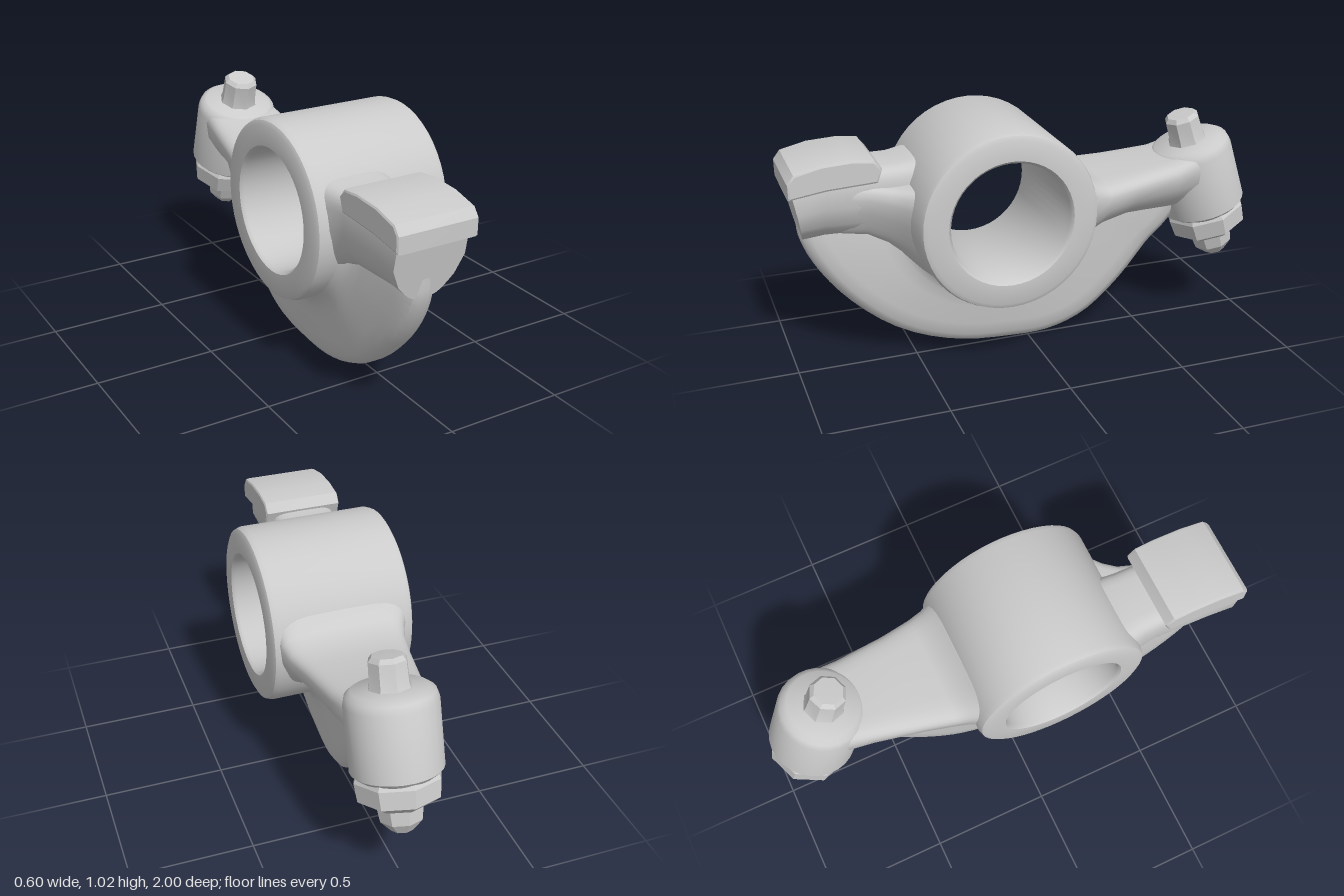
import * as THREE from 'three';
import { toCreasedNormals } from 'three/addons/utils/BufferGeometryUtils.js';

const material = new THREE.MeshStandardMaterial({ color: 0xcccccc, roughness: 0.7 });
const V3 = (x, y, z) => new THREE.Vector3(x, y, z);
const HUB = { y: 0.658, z: 0.17 };

function part(name, geometry, crease = 0.7) {
  const mesh = new THREE.Mesh(toCreasedNormals(geometry, crease), material);
  mesh.name = name;
  return mesh;
}

// Skin a list of equal-sized closed rings and cap both ends
function loft(rings) {
  const n = rings[0].length;
  const pts = rings.flat();
  const index = [];
  for (let i = 0; i < rings.length - 1; i++) {
    for (let j = 0; j < n; j++) {
      const a = i * n + j, b = i * n + (j + 1) % n;
      index.push(a, b, a + n, b, b + n, a + n);
    }
  }
  for (const end of [0, rings.length - 1]) {
    const centre = V3(0, 0, 0);
    rings[end].forEach(p => centre.addScaledVector(p, 1 / n));
    const c = pts.push(centre) - 1;
    for (let j = 0; j < n; j++) {
      const a = end * n + j, b = end * n + (j + 1) % n;
      end ? index.push(c, a, b) : index.push(c, b, a);
    }
  }
  const g = new THREE.BufferGeometry().setFromPoints(pts);
  g.setIndex(index);
  g.computeVertexNormals();
  return g;
}

// Rounded section at z: x0..x1 along the top, bx0..bx1 along the bottom;
// flare sets how fast the bottom width grows to the top width
function section([z, x0, x1, y0, y1, bx0, bx1], flare, slant = 0) {
  const ring = [];
  const soft = v => Math.sign(v) * Math.abs(v) ** 0.4;
  for (let j = 0; j < 32; j++) {
    const a = j / 32 * Math.PI * 2;
    const u = soft(Math.cos(a)) / 2 + 0.5, v = soft(Math.sin(a)) / 2 + 0.5;
    const w = Math.min(1, v * flare);
    const l = THREE.MathUtils.lerp(bx0, x0, w), r = THREE.MathUtils.lerp(bx1, x1, w);
    ring.push(V3(l + (r - l) * u, y0 + (y1 - y0) * v, z - slant * (1 - v)));
  }
  return ring;
}

// Curved lower web: fillet at the hub, rounded rim
function webGeometry() {
  const rim = new THREE.CatmullRomCurve3([
    [0.95, 0.64], [0.94, 0.55], [0.88, 0.42], [0.75, 0.255], [0.55, 0.1], [0.32, 0.02], [0.08, 0.003],
    [-0.1, 0.015], [-0.26, 0.08], [-0.42, 0.225], [-0.55, 0.39], [-0.63, 0.47], [-0.7, 0.57],
  ].map(([z, y]) => V3(0, y, z)));
  const centre = V3(0, HUB.y, HUB.z);
  const rings = [];
  for (let i = 0; i <= 40; i++) {
    const u = i / 40;
    const edge = rim.getPoint(u);
    const dir = edge.clone().sub(centre);
    const R = dir.length();
    dir.normalize();
    const s = Math.min(1, 0.68 + u * 1.1);
    const profile = [[0.3, 0.15], [0.365, 0.145], [0.385, 0.123], [0.42, 0.107], [0.47, 0.1],
      [R - 0.1, 0.086], [R - 0.045, 0.077], [R - 0.012, 0.055], [R, 0.022]];
    const side = k => profile.map(([r, h]) => {
      const p = centre.clone().addScaledVector(dir, r);
      p.x = -0.05 - 0.07 * (p.z - 0.1) + k * h * s;
      return p;
    });
    rings.push([...side(1), ...side(-1).reverse()]);
  }
  return loft(rings);
}

const lathe = (points, segments) =>
  new THREE.LatheGeometry(points.map(([r, y]) => new THREE.Vector2(r, y)), segments);

export function createModel() {
  const model = new THREE.Group();
  model.name = 'rockerArm';

  // Pivot hub with through bore
  const hub = part('hub', lathe([[0.248, -0.285], [0.26, -0.3], [0.342, -0.3], [0.36, -0.291], [0.368, -0.27],
    [0.368, 0.27], [0.36, 0.291], [0.342, 0.3], [0.26, 0.3], [0.248, 0.285], [0.248, -0.285]], 48));
  hub.rotation.z = Math.PI / 2;
  hub.position.set(0, HUB.y, HUB.z);
  model.add(hub);

  model.add(part('web', webGeometry()));

  // Rear arm, narrowing from hub to boss
  model.add(part('rearArm', loft([
    [-0.8, -0.11, 0.16, 0.56, 0.835, -0.06, 0.1],
    [-0.7, -0.15, 0.2, 0.55, 0.808, -0.07, 0.1],
    [-0.6, -0.16, 0.21, 0.55, 0.777, -0.08, 0.11],
    [-0.4, -0.2, 0.235, 0.55, 0.752, -0.11, 0.12],
    [-0.27, -0.23, 0.26, 0.535, 0.742, -0.15, 0.16],
    [-0.21, -0.25, 0.27, 0.52, 0.765, -0.18, 0.2],
    [-0.17, -0.275, 0.28, 0.5, 0.81, -0.22, 0.23],
    [-0.12, -0.28, 0.285, 0.48, 0.85, -0.25, 0.25],
  ].map(s => section(s, 1.8)))));

  // Front neck carrying the pad
  model.add(part('frontNeck', loft([
    [0.45, -0.27, 0.06, 0.48, 0.87, -0.24, 0.03],
    [0.5, -0.26, 0.055, 0.51, 0.865, -0.22, 0.01],
    [0.55, -0.248, 0.05, 0.545, 0.857, -0.2, 0],
    [0.62, -0.245, 0.048, 0.565, 0.857, -0.19, -0.01],
    [0.85, -0.255, 0.045, 0.57, 0.86, -0.18, -0.03],
    [0.99, -0.26, 0.045, 0.56, 0.85, -0.175, -0.04],
  ].map(s => section(s, 2.6, s[0] > 0.9 ? 0.055 : 0)))));

  // Fillet sweeping from the neck across the hub
  model.add(part('neckFillet', loft([
    [0.42, -0.1, 0.27, 0.36, 0.8, -0.1, 0.1],
    [0.47, -0.1, 0.235, 0.4, 0.79, -0.1, 0.08],
    [0.51, -0.1, 0.19, 0.44, 0.785, -0.1, 0.06],
    [0.55, -0.1, 0.14, 0.48, 0.78, -0.1, 0.03],
    [0.6, -0.1, 0.095, 0.52, 0.78, -0.1, 0.01],
    [0.68, -0.1, 0.06, 0.56, 0.79, -0.1, -0.01],
    [0.78, -0.1, 0.04, 0.575, 0.8, -0.1, -0.02],
  ].map(s => section(s, 1.5)))));

  // Wide contact pad with a crowned top
  const padShape = new THREE.Shape([[0.65, 0.82], [0.85, 0.81], [0.988, 0.79], [0.988, 0.845], [0.965, 0.875],
    [0.86, 0.9], [0.74, 0.906], [0.66, 0.897], [0.635, 0.865]].map(([z, y]) => new THREE.Vector2(z, y)));
  const padGeometry = new THREE.ExtrudeGeometry(padShape,
    { depth: 0.315, bevelThickness: 0.014, bevelSize: 0.01, bevelSegments: 2 });
  padGeometry.rotateY(-Math.PI / 2).translate(0.06, 0, 0);
  model.add(part('contactPad', padGeometry, 0.5));

  // Tilted boss with adjusting screw and lock nut
  const adjuster = new THREE.Group();
  adjuster.name = 'adjuster';
  adjuster.position.set(0.025, 0.825, -0.72);
  adjuster.rotation.x = 0.305;
  adjuster.add(part('boss', lathe([[0, -0.33], [0.155, -0.33], [0.178, -0.31], [0.178, -0.05],
    [0.168, -0.018], [0.145, -0.002], [0, 0.005]], 28)));
  adjuster.add(part('lockNut', lathe([[0, -0.445], [0.12, -0.445], [0.165, -0.415], [0.173, -0.34],
    [0.16, -0.315], [0, -0.315]], 8), 0.3));
  adjuster.add(part('screwTip', lathe([[0, -0.565], [0.045, -0.56], [0.085, -0.515], [0.098, -0.43], [0, -0.43]], 8), 0.3));
  adjuster.add(part('screwTop', lathe([[0, -0.02], [0.09, -0.02], [0.078, 0.02],
    [0.075, 0.105], [0.06, 0.122], [0, 0.124]], 8), 0.5));
  model.add(adjuster);

  return model;
}
